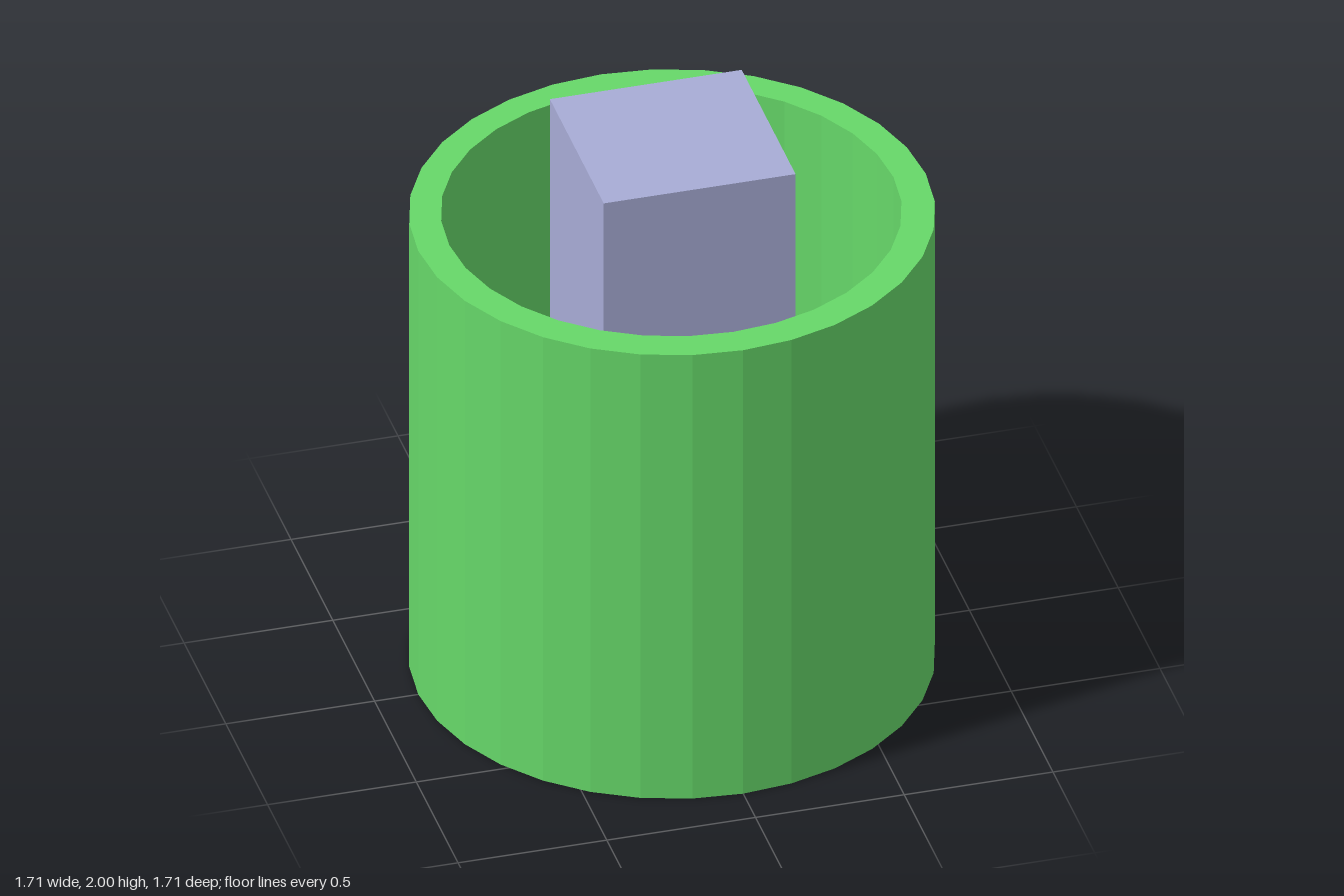
import * as THREE from 'three';

const SIDES = 32;
const OUTER = 0.853, INNER = 0.747, HEIGHT = 1.71, FLOOR = 0.11;
const INNER_Z = -0.008; // the bore sits slightly behind the centre

// Separate the faces so each one is shaded flat
function faceted(geometry) {
  const flat = geometry.toNonIndexed();
  flat.computeVertexNormals();
  return flat;
}

// Corner points of a regular polygon with a corner on each axis
function ringPoints(radius, cy = 0) {
  return Array.from({ length: SIDES }, (_, i) => {
    const a = (i / SIDES) * Math.PI * 2;
    return new THREE.Vector2(Math.cos(a) * radius, cy + Math.sin(a) * radius);
  });
}

export function createModel() {
  const model = new THREE.Group();
  model.name = 'cupWithBlock';

  const green = new THREE.MeshStandardMaterial({ color: 0x66d869 });
  green.name = 'green';
  const lavender = new THREE.MeshStandardMaterial({ color: 0xa8acd6 });
  lavender.name = 'lavender';

  const add = (parent, name, geometry, material, x, y, z) => {
    const mesh = new THREE.Mesh(geometry, material);
    mesh.name = name;
    mesh.position.set(x, y, z);
    parent.add(mesh);
  };

  const cup = new THREE.Group();
  cup.name = 'cup';
  model.add(cup);

  // Outer wall
  const outer = new THREE.CylinderGeometry(OUTER, OUTER, HEIGHT, SIDES, 1, true);
  add(cup, 'outerWall', faceted(outer), green, 0, HEIGHT / 2, 0);

  // Inner wall, mirrored so its faces point inwards
  const depth = HEIGHT - FLOOR;
  const inner = new THREE.CylinderGeometry(INNER, INNER, depth, SIDES, 1, true).scale(-1, 1, 1);
  add(cup, 'innerWall', faceted(inner), green, 0, FLOOR + depth / 2, INNER_Z);

  // Flat rim between the two walls
  const rim = new THREE.Shape(ringPoints(OUTER));
  rim.holes.push(new THREE.Path(ringPoints(INNER, -INNER_Z)));
  add(cup, 'rim', new THREE.ShapeGeometry(rim).rotateX(-Math.PI / 2), green, 0, HEIGHT, 0);

  // Inside floor and underside
  add(cup, 'floor', new THREE.CircleGeometry(INNER, SIDES).rotateX(-Math.PI / 2), green, 0, FLOOR, INNER_Z);
  add(cup, 'underside', new THREE.CircleGeometry(OUTER, SIDES).rotateX(Math.PI / 2), green, 0, 0, 0);

  // Square block standing in the cup
  const blockHeight = 2 - FLOOR;
  add(model, 'block', new THREE.BoxGeometry(0.645, blockHeight, 0.645), lavender, 0.003, FLOOR + blockHeight / 2, -0.002);

  return model;
}
